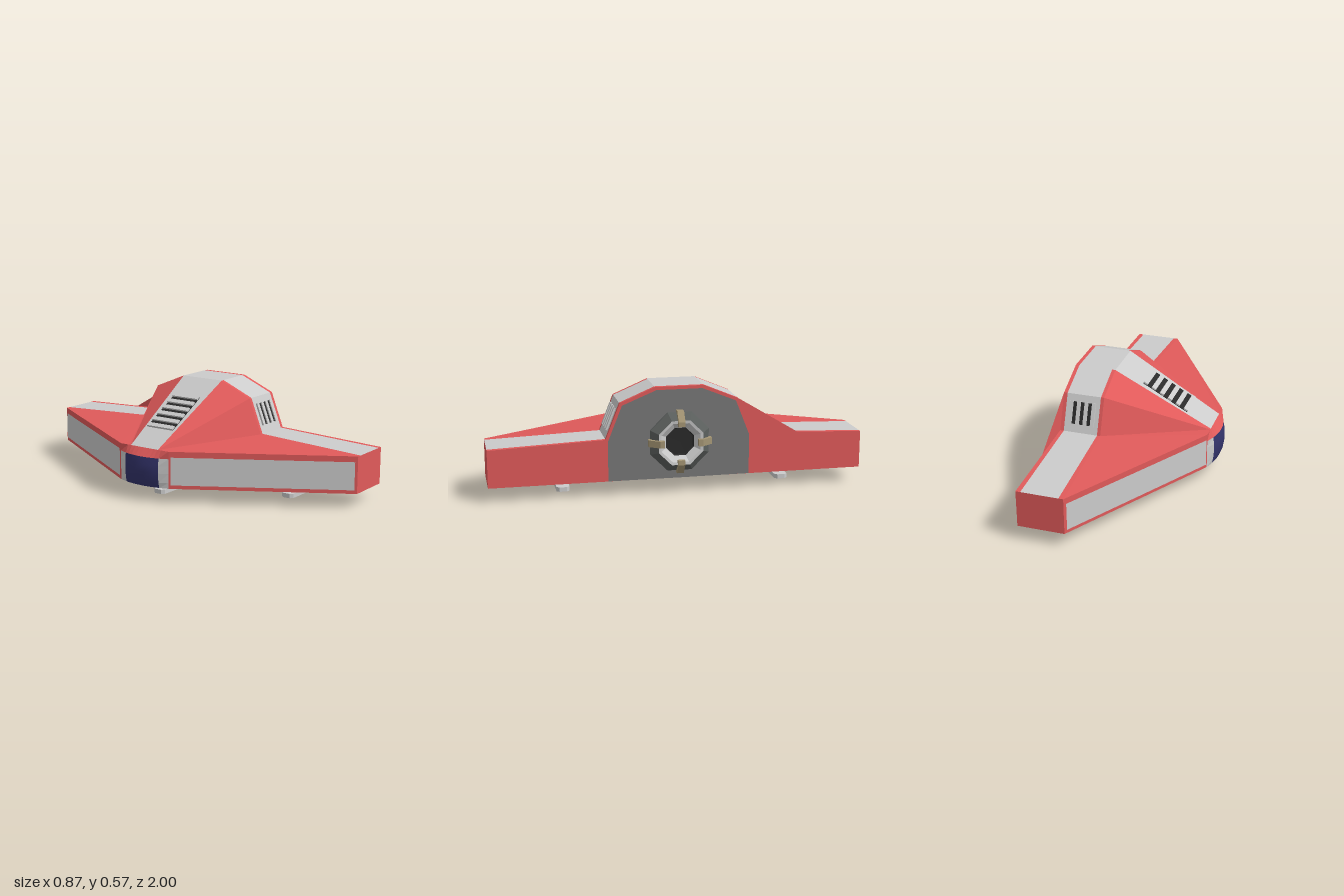
import * as THREE from 'three';
import { mergeVertices } from 'three/addons/utils/BufferGeometryUtils.js';

const mat = (color, flatShading = true) =>
  new THREE.MeshStandardMaterial({ color, flatShading, side: THREE.DoubleSide });
const RED = mat(0xe05a5a), GREY = mat(0xcccccc), DARK = mat(0x2a2a2a), STEEL = mat(0x777777),
  SHELL = mat(0x5c605e), BRASS = mat(0xa39473), GLASS = mat(0x33336b, false);

export function createModel() {
  const model = new THREE.Group();
  const add = (name, geometry, material, parent = model) => {
    const mesh = new THREE.Mesh(geometry, material);
    mesh.name = name;
    parent.add(mesh);
    return mesh;
  };
  const box = (name, w, h, d, x, y, z, material, parent) =>
    add(name, new THREE.BoxGeometry(w, h, d), material, parent).position.set(x, y, z);

  // Collects polygons per part, mirrored across z
  const parts = new Map();
  const poly = (name, material, pts) => {
    if (!parts.has(name)) parts.set(name, { material, verts: [] });
    const { verts } = parts.get(name);
    const mirrored = pts.map(([x, y, z]) => [x, y, -z]).reverse();
    for (const p of [pts, mirrored])
      for (let i = 1; i < p.length - 1; i++) verts.push(...p[0], ...p[i], ...p[i + 1]);
  };

  // Hull skin: nose points, then the main cross-section swept back in bands
  const section = [[0, 0.573], [0.13, 0.573], [0.315, 0.495], [0.39, 0.305], [1, 0.28]];
  const noseZ = [0, 0.09, 0.09, 0.1, 0.16];
  const bands = [[0.14, 0.115], [0.158, 0.14], [0.345, 0.34], [0.365, 0.365]];
  const at = (b, i) => [bands[b][i === 4 ? 1 : 0], section[i][1], section[i][0]];
  for (let i = 0; i < 4; i++) {
    const roof = i === 0;
    poly(roof ? 'greyPlating' : 'redHull', roof ? GREY : RED,
      [[-0.385, 0.28, noseZ[i]], [-0.385, 0.28, noseZ[i + 1]], at(0, i + 1), at(0, i)]);
    for (let b = 0; b < 3; b++) {
      const grey = b === 1 || (roof && b === 0);
      poly(grey ? 'greyPlating' : 'redHull', grey ? GREY : RED,
        [at(b, i), at(b, i + 1), at(b + 1, i + 1), at(b + 1, i)]);
    }
  }

  // Leading faces, wing tips and rear wall
  poly('redHull', RED, [[-0.385, 0.28, 0.16], [-0.385, 0.08, 0.16], [0.115, 0.08, 1], [0.115, 0.28, 1]]);
  poly('redHull', RED, [[0.115, 0.28, 1], [0.115, 0.08, 1], [0.365, 0.08, 1], [0.365, 0.28, 1]]);
  const rear = (x, pts) => [...pts.map(([z, y]) => [x, y, z]), [x, 0.08, 0]];
  const rearPoly = (name, m, x, pts) => {
    const p = rear(x, pts);
    poly(name, m, [p[p.length - 1], ...p.slice(0, -1)]);
  };
  rearPoly('redHull', RED, 0.365, [...section, [1, 0.08]]);
  rearPoly('rearPanel', STEEL, 0.367, [[0, 0.557], [0.122, 0.557], [0.303, 0.483], [0.378, 0.295], [0.378, 0.081]]);

  // Long grey panel along each leading face
  const lead = (t, y) => [-0.385 + 0.5 * t - 0.003, y, 0.16 + 0.84 * t + 0.002];
  poly('leadingPanel', GREY, [lead(0.01, 0.25), lead(0.01, 0.1), lead(0.985, 0.1), lead(0.985, 0.25)]);

  // Rounded nose: blue canopy, grey cheeks, red brow
  const rows = [[0.08, 0.6], [0.11, 0.84], [0.16, 1], [0.2, 0.97], [0.24, 0.76], [0.28, 0]];
  const cols = [0, 0.03, 0.06, 0.085, 0.11, 0.16];
  const nose = (r, c) => [-0.385 - 0.05 * rows[r][1] * (1 - (cols[c] / 0.16) ** 2), rows[r][0], cols[c]];
  for (let r = 0; r < 5; r++)
    for (let c = 0; c < 5; c++) {
      const [name, m] = r === 4 ? ['redHull', RED] : c === 4 ? ['noseCheek', GREY] : ['canopy', GLASS];
      poly(name, m, [nose(r, c), nose(r, c + 1), nose(r + 1, c + 1), nose(r + 1, c)]);
    }

  // Flat dark underside
  poly('underside', DARK, [[0.365, 0.08, 0], [0.365, 0.08, 1], [0.115, 0.08, 1],
    ...cols.map((_, c) => nose(0, c)).reverse()]);

  for (const [name, { material, verts }] of parts) {
    let g = new THREE.BufferGeometry();
    g.setAttribute('position', new THREE.Float32BufferAttribute(verts, 3));
    if (name === 'canopy') g = mergeVertices(g);
    g.computeVertexNormals();
    add(name, g, material);
  }

  // Side vents: dark back plate framed by grey bars
  for (const s of [1, -1]) {
    const vent = new THREE.Group();
    vent.name = s > 0 ? 'leftVent' : 'rightVent';
    vent.position.set(0.2525, 0.4025, s * 0.3515);
    vent.rotation.x = -s * 0.376;
    box('ventBack', 0.14, 0.12, 0.008, 0, 0, 0, DARK, vent);
    for (let i = 0; i < 4; i++) box('ventBar', 0.0205, 0.124, 0.02, -0.0622 + i * 0.0415, 0, 0, GREY, vent);
    model.add(vent);
  }

  // Louvred vent on the sloping roof
  const louvre = new THREE.Group();
  louvre.name = 'roofVent';
  louvre.position.set(-0.125, 0.425, 0);
  louvre.rotation.z = 0.509;
  box('louvreBack', 0.28, 0.006, 0.17, 0, 0, 0, DARK, louvre);
  for (let i = 0; i < 6; i++) box('louvreBar', 0.026, 0.024, 0.17, (i - 2.5) * 0.0515, 0, 0, GREY, louvre);
  model.add(louvre);

  // Octagonal engine with four brass clamps
  const engine = new THREE.Group();
  engine.name = 'engine';
  engine.position.set(0.365, 0.28, 0);
  const turned = (name, pts, m) => {
    const g = new THREE.LatheGeometry(pts.map(p => new THREE.Vector2(...p)), 8, Math.PI / 8);
    add(name, g, m, engine).rotation.z = -Math.PI / 2;
  };
  turned('engineShell', [[0.17, 0], [0.168, 0.012], [0.128, 0.047]], SHELL);
  turned('engineNozzle', [[0.128, 0.047], [0.112, 0.045], [0.08, 0.018]], GREY);
  turned('engineBore', [[0.08, 0.018], [0.075, 0.005], [0.0001, 0.004]], DARK);
  const clamp = new THREE.Shape([[0, 0.168], [0.03, 0.168], [0.068, 0.115], [0.068, 0.09],
    [0.046, 0.09], [0.03, 0.125], [0, 0.14]].map(p => new THREE.Vector2(...p)));
  const clampGeo = new THREE.ExtrudeGeometry(clamp, { depth: 0.036, bevelEnabled: false });
  clampGeo.translate(0, 0, -0.018);
  for (let k = 0; k < 4; k++) add('engineClamp', clampGeo, BRASS, engine).rotation.x = k * Math.PI / 2;
  model.add(engine);

  // Landing legs: raked strut on a chamfered foot
  const strut = new THREE.Shape([[-0.025, 0.02], [0.013, 0.02], [0.048, 0.085], [-0.005, 0.085]]
    .map(p => new THREE.Vector2(...p)));
  const strutGeo = new THREE.ExtrudeGeometry(strut, { depth: 0.024, bevelEnabled: false });
  strutGeo.translate(0, 0, -0.012);
  const foot = new THREE.Shape([[-0.083, -0.02], [-0.068, -0.035], [0.068, -0.035], [0.083, -0.02],
    [0.083, 0.02], [0.068, 0.035], [-0.068, 0.035], [-0.083, 0.02]].map(p => new THREE.Vector2(...p)));
  const footGeo = new THREE.ExtrudeGeometry(foot, { depth: 0.024, bevelEnabled: false });
  footGeo.rotateX(-Math.PI / 2);
  for (const [name, x, z] of [['noseLeg', -0.187, 0], ['leftLeg', 0.157, 0.6], ['rightLeg', 0.157, -0.6]]) {
    const leg = new THREE.Group();
    leg.name = name;
    leg.position.set(x, 0, z);
    add('strut', strutGeo, GREY, leg);
    add('foot', footGeo, GREY, leg);
    model.add(leg);
  }
  return model;
}
